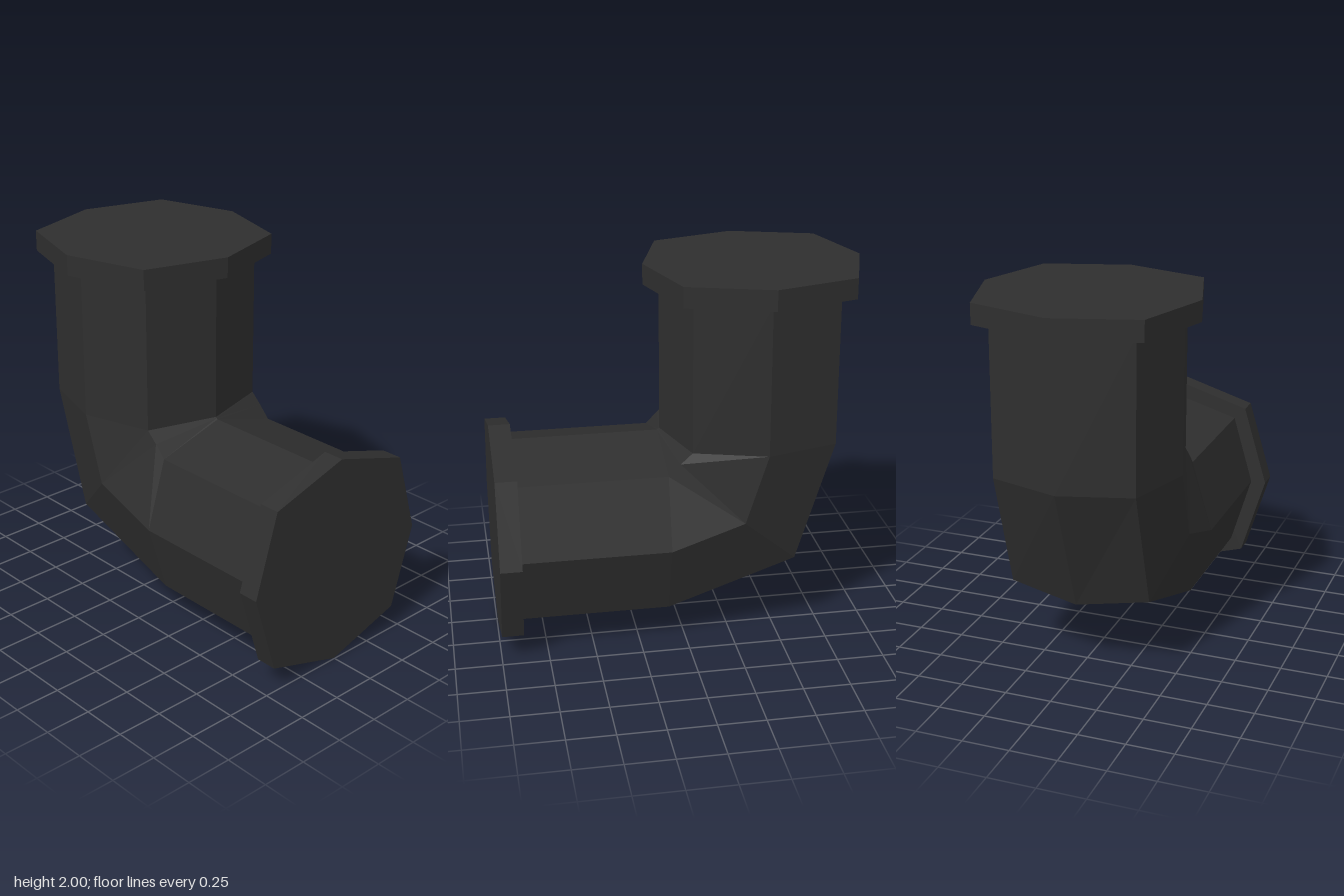
import * as THREE from 'three';

// Octagonal section: centre, in-plane direction towards the inside of the bend,
// reach of the points on the axes and of the points between them.
function profile(cx, cy, dx, dy, axis, diag) {
  return [axis, diag, 0, -diag, -axis].map((u) => [cx + dx * u, cy + dy * u]);
}

// Turn five in-plane points (inner to outer) into a mirrored eight-point ring.
function ring(points, axis, diag) {
  const z = [0, diag, axis, diag, 0];
  const half = points.map(([x, y], i) => [x, y, z[i]]);
  const back = [3, 2, 1].map((i) => [points[i][0], points[i][1], -z[i]]);
  return [...half, ...back];
}

// Join rings into a closed solid with flat ends.
function loft(rings) {
  const pos = [];
  const tri = (a, b, c) => pos.push(...a, ...b, ...c);
  for (let i = 0; i < rings.length - 1; i++) {
    const [r, s] = [rings[i], rings[i + 1]];
    for (let k = 0; k < 8; k++) {
      const n = (k + 1) % 8;
      tri(r[k], r[n], s[n]);
      tri(r[k], s[n], s[k]);
    }
  }
  const first = rings[0], last = rings[rings.length - 1];
  for (let k = 1; k < 7; k++) {
    tri(first[0], first[k + 1], first[k]);
    tri(last[0], last[k], last[k + 1]);
  }
  const geo = new THREE.BufferGeometry();
  geo.setAttribute('position', new THREE.Float32BufferAttribute(pos, 3));
  geo.computeVertexNormals();
  return geo;
}

export function createModel() {
  const group = new THREE.Group();
  group.name = 'elbowPipe';
  const iron = new THREE.MeshStandardMaterial({ color: 0x2e2e2e });
  iron.name = 'darkIron';
  iron.flatShading = true;

  const add = (name, rings) => {
    const mesh = new THREE.Mesh(loft(rings), iron);
    mesh.name = name;
    group.add(mesh);
  };

  // Sections across the upright leg and the sideways leg
  const upright = (y, a, d) => ring(profile(-0.415, y, 1, 0, a, d), a, d);
  const sideways = (x, a, d) => ring(profile(x, 0.58, 0, 1, a, d), a, d);
  const A = 0.495, D = 0.382;

  // Mitred section in the middle of the bend
  const bend = ring(
    [[0.086, 1.08], [0.03, 1.027], [-0.295, 0.713], [-0.593, 0.436], [-0.652, 0.383]], A, D);

  add('pipe', [upright(1.9, A, D), upright(1.085, A, D), bend, sideways(0.093, A, D), sideways(0.89, A, D)]);

  // End flanges
  add('topFlange', [upright(2, 0.58, 0.445), upright(1.89, 0.58, 0.445)]);
  add('sideFlange', [sideways(0.88, 0.58, 0.445), sideways(0.995, 0.58, 0.445)]);

  return group;
}
